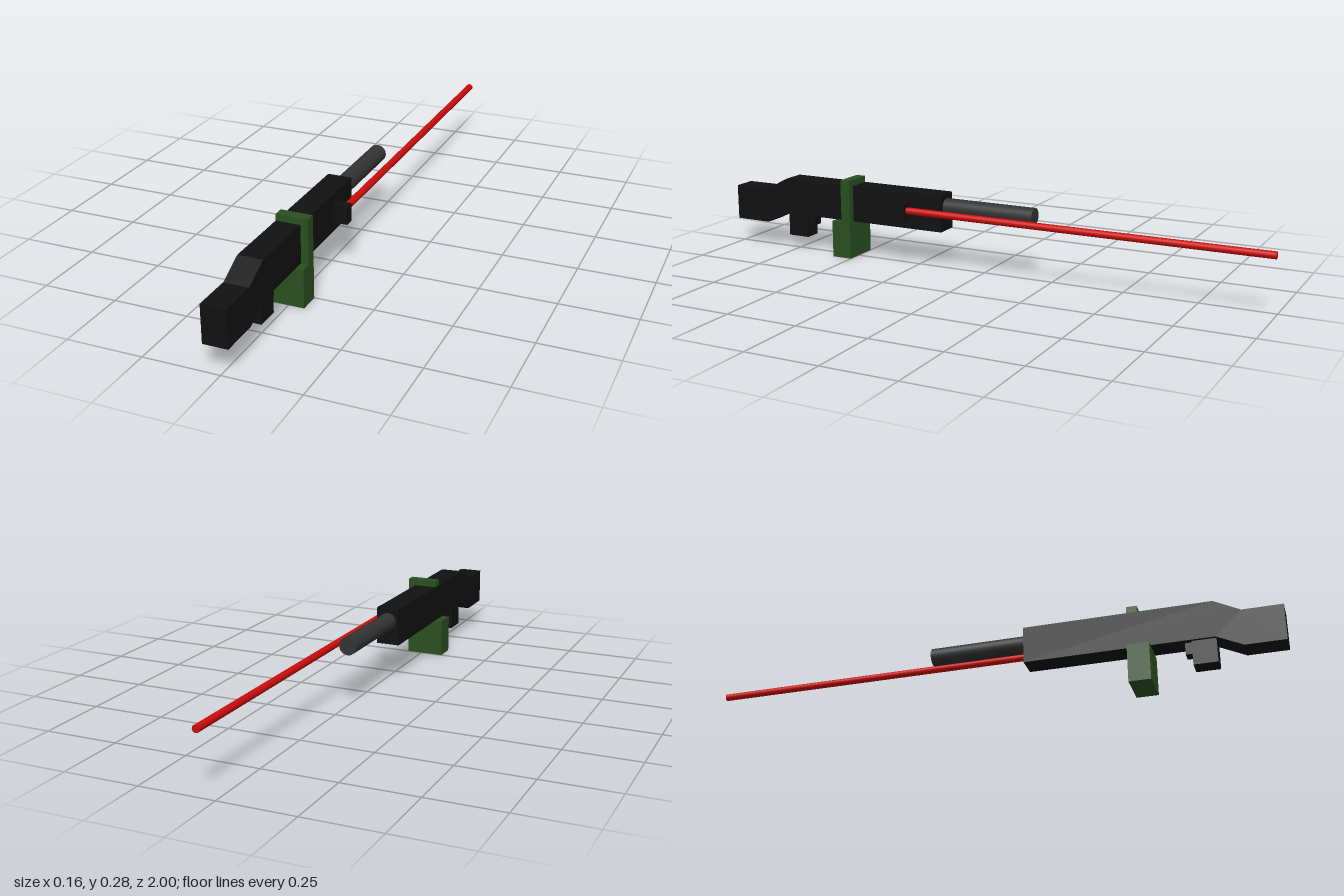
import * as THREE from 'three';

export function createModel() {
  const group = new THREE.Group();
  const mat = (color) => new THREE.MeshStandardMaterial({ color });
  const black = mat(0x111111), gunmetal = mat(0x333333);
  const green = mat(0x2a5020), red = mat(0xcc0c0c);

  const add = (name, geometry, material) => {
    const mesh = new THREE.Mesh(geometry, material);
    mesh.name = name;
    group.add(mesh);
  };
  // Box given by its limits on each axis
  const box = (name, [x0, x1], [y0, y1], [z0, z1], material) =>
    add(name, new THREE.BoxGeometry(x1 - x0, y1 - y0, z1 - z0)
      .translate((x0 + x1) / 2, (y0 + y1) / 2, (z0 + z1) / 2), material);
  // Rod lying along z
  const rod = (name, radius, x, y, [z0, z1], material) =>
    add(name, new THREE.CylinderGeometry(radius, radius, z1 - z0, 32)
      .rotateX(Math.PI / 2).translate(x, y, (z0 + z1) / 2), material);

  // Receiver and dropped stock: one side profile (z, y) extruded across x
  const profile = new THREE.Shape([
    [0.15, 0.13], [0.78, 0.13], [0.867, 0.088], [1, 0.088],
    [1, 0.212], [0.867, 0.212], [0.78, 0.257], [0.15, 0.257],
  ].map(([z, y]) => new THREE.Vector2(z, y)));
  add('receiverAndStock', new THREE.ExtrudeGeometry(profile, { depth: 0.081, bevelEnabled: false })
    .rotateY(-Math.PI / 2).translate(0.028, 0, 0), black);

  // Grip and trigger under the receiver
  box('grip', [-0.043, 0.017], [0.047, 0.15], [0.703, 0.782], black);
  box('trigger', [-0.033, 0.007], [0.09, 0.14], [0.68, 0.71], black);

  rod('barrel', 0.03, -0.013, 0.212, [-0.18, 0.16], gunmetal);

  // Pouch below, with a strap up one side and over the top
  box('pouch', [-0.08, 0.053], [0, 0.13], [0.5, 0.573], green);
  box('strapSide', [0.028, 0.053], [0.13, 0.279], [0.5, 0.535], green);
  box('strapTop', [-0.053, 0.028], [0.257, 0.279], [0.5, 0.535], green);

  // Side-mounted pointer and its beam
  box('pointerMount', [0.028, 0.078], [0.163, 0.225], [0.268, 0.3], black);
  rod('beam', 0.012, 0.053, 0.199, [-1, 0.27], red);

  return group;
}
